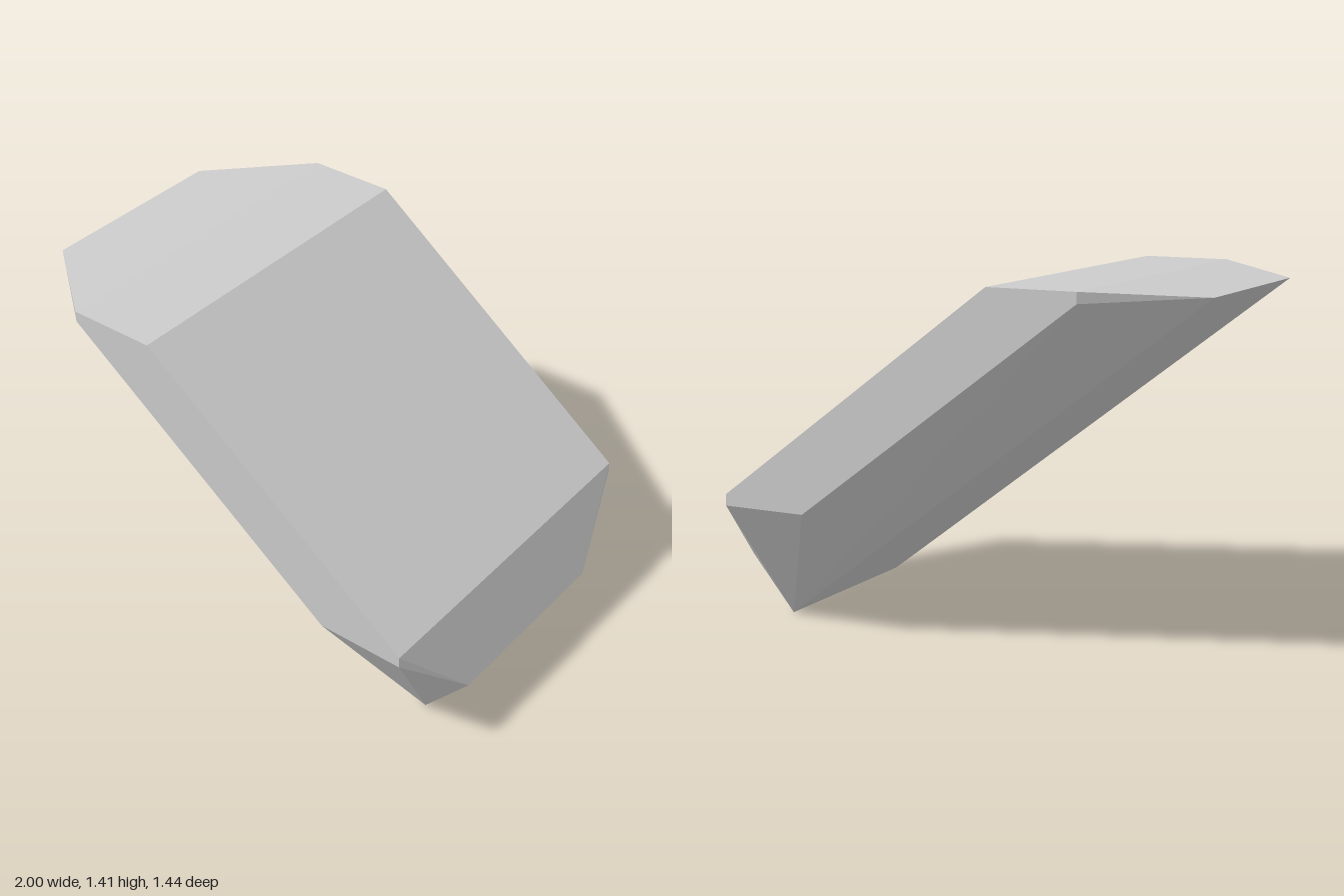
import * as THREE from 'three';
import { ConvexGeometry } from 'three/addons/geometries/ConvexGeometry.js';

export function createModel() {
  const group = new THREE.Group();
  group.name = 'slopedBlock';

  const wide = 0.722; // half depth of the main body
  const narrow = 0.405; // half depth of the chamfered ends and underside

  // Corners in x, y and half depth, mirrored front to back
  const corners = [
    [-1, 1.383, narrow], // tip of the upper end
    [-0.615, 1.415, wide], // upper shoulder
    [-0.615, 1.372, wide],
    [-0.257, 1.415, wide], // top of the slope
    [0.9, 0.547, wide], // foot of the slope
    [0.9, 0.502, wide],
    [0.545, 0.502, wide], // lower side corner
    [1, 0.225, narrow], // lower end
    [0.81, 0, narrow],
  ];
  const points = corners.flatMap(([x, y, z]) => [
    new THREE.Vector3(x, y, z),
    new THREE.Vector3(x, y, -z),
  ]);

  const body = new THREE.Mesh(
    new ConvexGeometry(points),
    new THREE.MeshStandardMaterial({ color: 0xcccccc, flatShading: true })
  );
  body.name = 'chamferedBody';
  group.add(body);
  return group;
}
